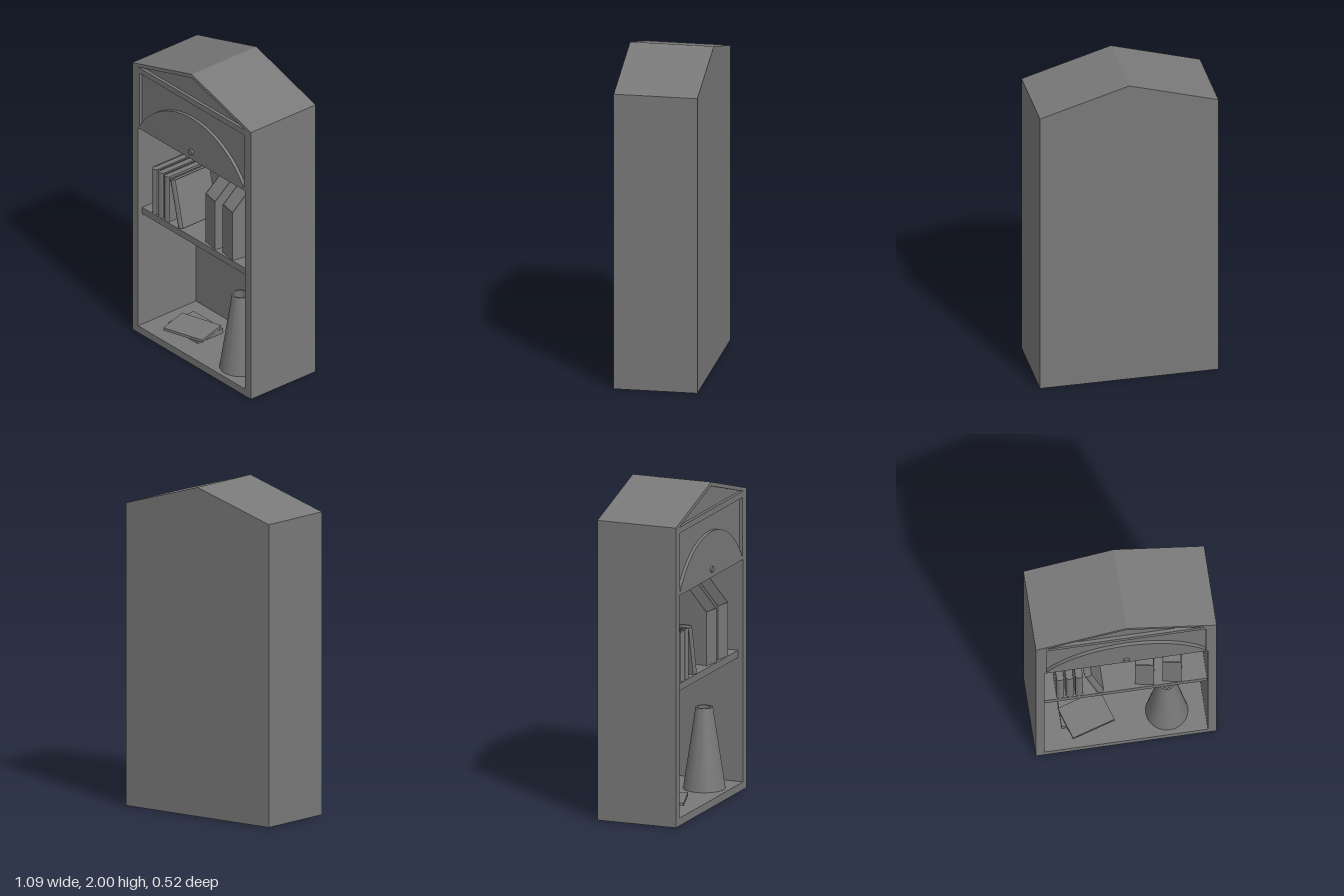
import * as THREE from 'three';
import { toCreasedNormals } from 'three/addons/utils/BufferGeometryUtils.js';

const material = new THREE.MeshStandardMaterial({ color: 0x797979 });

function add(parent, name, geometry, x = 0, y = 0, z = 0) {
  const mesh = new THREE.Mesh(geometry, material);
  mesh.name = name;
  mesh.position.set(x, y, z);
  parent.add(mesh);
  return mesh;
}

const polygon = (points) => new THREE.Shape(points.map(([x, y]) => new THREE.Vector2(x, y)));

function extrude(shape, depth) {
  const geometry = new THREE.ExtrudeGeometry(shape, { depth, bevelEnabled: false, curveSegments: 32 });
  return toCreasedNormals(geometry, 0.5);
}

// Gabled outline shared by every layer of the cabinet
const gable = () => polygon([[-0.545, 0], [0.545, 0], [0.545, 1.84], [0, 2], [-0.545, 1.84]]);
const opening = (top) => polygon([[-0.492, 0.047], [0.492, 0.047], [0.492, top], [-0.492, top]]);

function createCabinet() {
  const cabinet = new THREE.Group();
  cabinet.name = 'cabinet';
  add(cabinet, 'backPanel', extrude(gable(), 0.055), 0, 0, -0.26);

  const body = gable();
  body.holes.push(opening(1.403));
  add(cabinet, 'body', extrude(body, 0.432), 0, 0, -0.205);

  // Face frame: open shelves, recess above the arch, gable recess
  const face = gable();
  const recess = new THREE.Path();
  const radius = 0.567, centreY = 1.128;
  const end = Math.atan2(1.43 - centreY, 0.48);
  recess.moveTo(0.48, 1.795);
  recess.lineTo(-0.48, 1.795);
  recess.lineTo(-0.48, 1.43);
  recess.absarc(0, centreY, radius, Math.PI - end, end, true);
  recess.lineTo(0.48, 1.795);
  face.holes.push(opening(1.413), recess, polygon([[-0.492, 1.832], [0.492, 1.832], [0, 1.975]]));
  add(cabinet, 'faceFrame', extrude(face, 0.02), 0, 0, 0.227);

  add(cabinet, 'shelf', new THREE.BoxGeometry(0.984, 0.044, 0.42), 0, 0.83, 0.005);

  // Knob on the arched panel
  const knob = new THREE.CylinderGeometry(0.019, 0.019, 0.014, 32).rotateX(Math.PI / 2);
  add(cabinet, 'knob', knob, 0, 1.465, 0.253);
  return cabinet;
}

// Upright book: spine faces +z, origin at the bottom left of the spine
function createBook() {
  const book = new THREE.Group();
  book.name = 'book';
  const w = 0.045, d = 0.28, t = 0.005, h = 0.31;
  const cover = new THREE.Shape();
  cover.moveTo(0, d);
  cover.lineTo(0, 0.012);
  cover.quadraticCurveTo(w / 2, -0.012, w, 0.012);
  cover.lineTo(w, d);
  cover.lineTo(w - t, d);
  cover.lineTo(w - t, 0.016);
  cover.lineTo(t, 0.016);
  cover.lineTo(t, d);
  add(book, 'cover', extrude(cover, h).rotateX(-Math.PI / 2));
  add(book, 'pages', new THREE.BoxGeometry(w - 2 * t, h - 0.008, d - 0.022), w / 2, h / 2, -(d + 0.01) / 2);
  return book;
}

// Open-topped file box with a cut-down front; origin at the front left
function createFileBox() {
  const box = new THREE.Group();
  box.name = 'fileBox';
  const w = 0.114, d = 0.3, t = 0.005, low = 0.33, high = 0.46;
  const side = () => {
    const shape = polygon([[0, 0], [d, 0], [d, high], [0.125, high], [0, low]]);
    return extrude(shape, t).rotateY(Math.PI / 2);
  };
  add(box, 'leftWall', side());
  add(box, 'rightWall', side(), w - t);
  const inner = w - 2 * t;
  add(box, 'frontWall', new THREE.BoxGeometry(inner, low, t), w / 2, low / 2, -t / 2);
  add(box, 'backWall', new THREE.BoxGeometry(inner, high, t), w / 2, high / 2, -d + t / 2);
  add(box, 'floor', new THREE.BoxGeometry(inner, t, d - 2 * t), w / 2, t / 2, -d / 2);

  // Thin round plates on the right wall
  for (const [u, v, r] of [[0.21, 0.33, 0.06], [0.13, 0.215, 0.022], [0.21, 0.12, 0.035]]) {
    const plate = new THREE.CylinderGeometry(r, r, 0.003, 32).rotateZ(Math.PI / 2);
    add(box, 'sidePlate', plate, w + 0.001, v, -u);
  }
  return box;
}

export function createModel() {
  const model = new THREE.Group();
  model.name = 'displayCabinet';
  model.add(createCabinet());

  // Three standing books and one leaning against them
  for (const [x, lean] of [[-0.413, 0], [-0.357, 0], [-0.3, 0], [-0.173, 0.24]]) {
    const book = createBook();
    book.position.set(x, 0.852, 0.215);
    book.rotation.z = lean;
    model.add(book);
  }

  // Pair of file boxes turned slightly
  for (const [x, z] of [[0.06, 0.19], [0.225, 0.195]]) {
    const box = createFileBox();
    box.position.set(x, 0.852, z);
    box.rotation.y = -0.17;
    model.add(box);
  }

  // Two flat books on the cabinet floor
  add(model, 'lowerFlatBook', new THREE.BoxGeometry(0.27, 0.03, 0.2), -0.235, 0.062, 0.015);
  add(model, 'upperFlatBook', new THREE.BoxGeometry(0.275, 0.018, 0.21), -0.214, 0.086, 0.06).rotation.y = 0.3;

  // Tapered hollow vase
  const profile = [[0, 0], [0.127, 0], [0.052, 0.498], [0.041, 0.498], [0.1, 0.02], [0, 0.02]];
  const vase = new THREE.LatheGeometry(profile.map(([x, y]) => new THREE.Vector2(x, y)), 48);
  add(model, 'vase', toCreasedNormals(vase, 0.5), 0.267, 0.047, 0.09);
  return model;
}
